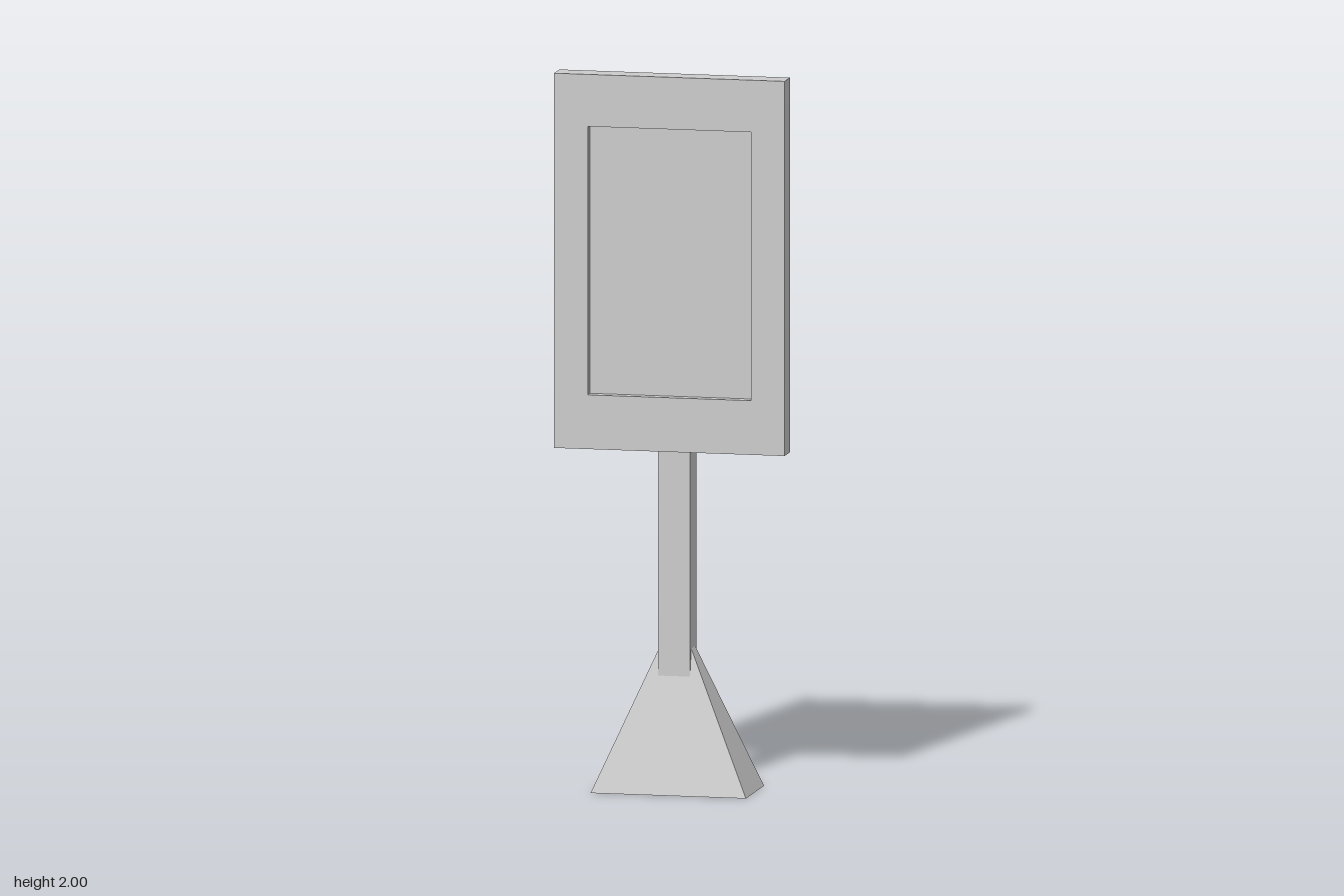
import * as THREE from 'three';

const material = new THREE.MeshStandardMaterial({ color: 0xcccccc, flatShading: true });

// Joins a series of rectangles stacked along z into one closed solid.
// Each ring is { w, h, z, cy }: half width, half height, depth, centre height.
function loftRectangles(rings) {
  const positions = [];
  const index = [];
  for (const { w, h, z, cy = 0 } of rings) {
    positions.push(-w, cy - h, z, w, cy - h, z, w, cy + h, z, -w, cy + h, z);
  }
  for (let r = 0; r < rings.length - 1; r++) {
    for (let i = 0; i < 4; i++) {
      const a = r * 4 + i, b = r * 4 + (i + 1) % 4;
      index.push(a, b, b + 4, a, b + 4, a + 4);
    }
  }
  const e = (rings.length - 1) * 4;
  index.push(0, 2, 1, 0, 3, 2, e, e + 1, e + 2, e, e + 2, e + 3);
  const indexed = new THREE.BufferGeometry();
  indexed.setAttribute('position', new THREE.Float32BufferAttribute(positions, 3));
  indexed.setIndex(index);
  const geometry = indexed.toNonIndexed();
  geometry.computeVertexNormals();
  return geometry;
}

export function createModel() {
  const group = new THREE.Group();
  const add = (name, geometry) => {
    const mesh = new THREE.Mesh(geometry, material);
    mesh.name = name;
    group.add(mesh);
    return mesh;
  };

  // Tapered foot, its top hidden inside the post
  add('base', loftRectangles([
    { w: 0.219, h: 0.114, z: 0 },
    { w: 0.044, h: 0.024, z: 0.4 },
  ]).rotateX(-Math.PI / 2));

  // Square upright
  const postBottom = 0.3, postTop = 1.285;
  add('post', new THREE.BoxGeometry(0.09, postTop - postBottom, 0.083))
    .position.set(0, (postTop + postBottom) / 2, 0);

  // Sign board: back, outer front edge, rim of the recess, recess floor
  const outer = { w: 0.325, h: 0.522, cy: 1.478 };
  const inner = { w: 0.23, h: 0.374, cy: 1.481 };
  add('signBoard', loftRectangles([
    { ...outer, z: 0.033 },
    { ...outer, z: 0.1 },
    { ...inner, z: 0.1 },
    { ...inner, z: 0.072 },
  ]));

  return group;
}
